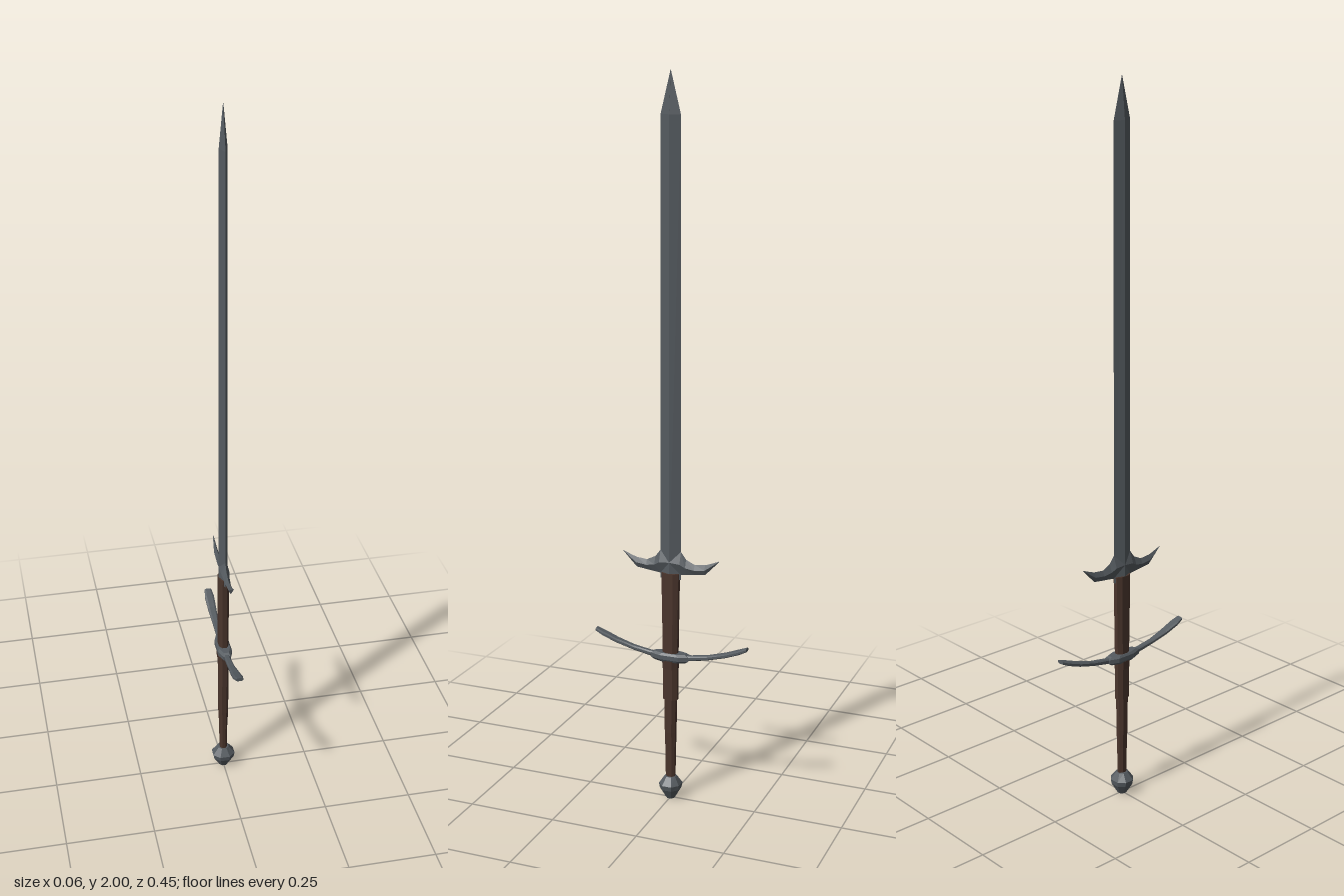
import * as THREE from 'three';

// Joins rings of corners into a closed, faceted solid
function loft(rings) {
  const pos = [];
  const n = rings[0].length;
  const tri = (...pts) => pts.forEach((p) => pos.push(...p));
  const centre = (ring) => [0, 1, 2].map((k) => ring.reduce((s, p) => s + p[k], 0) / n);
  for (let r = 0; r < rings.length - 1; r++) {
    const a = rings[r], b = rings[r + 1];
    for (let i = 0; i < n; i++) {
      const j = (i + 1) % n;
      tri(a[i], a[j], b[j]);
      tri(a[i], b[j], b[i]);
    }
  }
  const first = rings[0], last = rings[rings.length - 1];
  for (let i = 0; i < n; i++) {
    const j = (i + 1) % n;
    tri(centre(first), first[j], first[i]);
    tri(centre(last), last[i], last[j]);
  }
  const g = new THREE.BufferGeometry();
  g.setAttribute('position', new THREE.Float32BufferAttribute(pos, 3));
  g.computeVertexNormals();
  return g;
}

// Horizontal octagon with cut corners at height y
function octagon(y, hx, hz, cut = 0.45) {
  const cx = hx * cut, cz = hz * cut;
  return [[cx, hz], [hx, cz], [hx, -cz], [cx, -hz], [-cx, -hz], [-hx, -cz], [-hx, cz], [-cx, hz]]
    .map(([x, z]) => [x, y, z]);
}

// Horizontal diamond at height y
const diamond = (y, hx, hz) => [[0, y, hz], [hx, y, 0], [0, y, -hz], [-hx, y, 0]];

// Repeats a half profile (first value is z, from the middle out) on both sides
const mirrored = (half) => [
  ...half.slice().reverse().map(([z, ...rest]) => [-z, ...rest]),
  ...half.filter(([z]) => z > 0),
];

export function createModel() {
  const steel = new THREE.MeshStandardMaterial({ color: 0x555b60 });
  const leather = new THREE.MeshStandardMaterial({ color: 0x4a352c });
  const group = new THREE.Group();
  const add = (name, geometry, material) => {
    const mesh = new THREE.Mesh(geometry, material);
    mesh.name = name;
    group.add(mesh);
  };
  steel.name = 'steel';
  leather.name = 'leather';

  // Ridged blade with a pointed tip
  add('blade', loft([
    diamond(0.65, 0.013, 0.03),
    diamond(1.89, 0.011, 0.028),
    diamond(2, 0.0005, 0.0005),
  ]), steel);

  // Upswept parrying lugs: z, low y, high y, half thickness
  const lugs = mirrored([
    [0, 0.664, 0.735, 0.013], [0.03, 0.664, 0.73, 0.012], [0.045, 0.666, 0.71, 0.009],
    [0.07, 0.669, 0.698, 0.007], [0.1, 0.673, 0.701, 0.006], [0.115, 0.688, 0.706, 0.004],
    [0.14, 0.714, 0.716, 0.001],
  ]);
  add('parryingLugs', loft(lugs.map(([z, lo, hi, h]) => {
    const mid = (lo + hi) / 2;
    return [[h, mid, z], [0, hi, z], [-h, mid, z], [0, lo, z]];
  })), steel);

  // Leather wrap above the guard, then the stepped grip below it
  add('ricassoWrap', loft([octagon(0.425, 0.014, 0.021), octagon(0.667, 0.014, 0.025)]), leather);
  add('upperGrip', loft([octagon(0.298, 0.014, 0.021), octagon(0.425, 0.014, 0.021)]), leather);
  add('lowerGrip', loft([
    octagon(0.055, 0.01, 0.013), octagon(0.145, 0.011, 0.014),
    octagon(0.2, 0.0135, 0.0155), octagon(0.3, 0.014, 0.0165),
  ]), leather);

  // Curved crossguard that flares toward its ends: z, y, half width, half thickness
  const guard = mirrored([
    [0, 0.424, 0.009, 0.008], [0.06, 0.427, 0.008, 0.007], [0.11, 0.436, 0.009, 0.006],
    [0.16, 0.45, 0.012, 0.006], [0.2, 0.465, 0.0135, 0.006], [0.223, 0.475, 0.01, 0.005],
  ]);
  add('crossguard', loft(guard.map(([z, y, w, t]) =>
    [[w, y - t * 0.5], [w, y + t * 0.5], [w * 0.6, y + t], [-w * 0.6, y + t],
      [-w, y + t * 0.5], [-w, y - t * 0.5], [-w * 0.6, y - t], [w * 0.6, y - t]]
      .map(([x, h]) => [x, h, z]))), steel);

  // Swollen collar at the middle of the guard
  add('guardCollar', loft([
    octagon(0.412, 0.016, 0.045), octagon(0.419, 0.02, 0.055, 0.5),
    octagon(0.431, 0.02, 0.055, 0.5), octagon(0.437, 0.016, 0.045),
  ]), steel);
  add('collarSleeve', loft([octagon(0.39, 0.0165, 0.0215), octagon(0.415, 0.018, 0.0225)]), leather);

  // Faceted pommel
  add('pommel', loft([
    octagon(0, 0.012, 0.012), octagon(0.03, 0.029, 0.028),
    octagon(0.044, 0.032, 0.03), octagon(0.066, 0.015, 0.016),
  ]), steel);

  return group;
}
